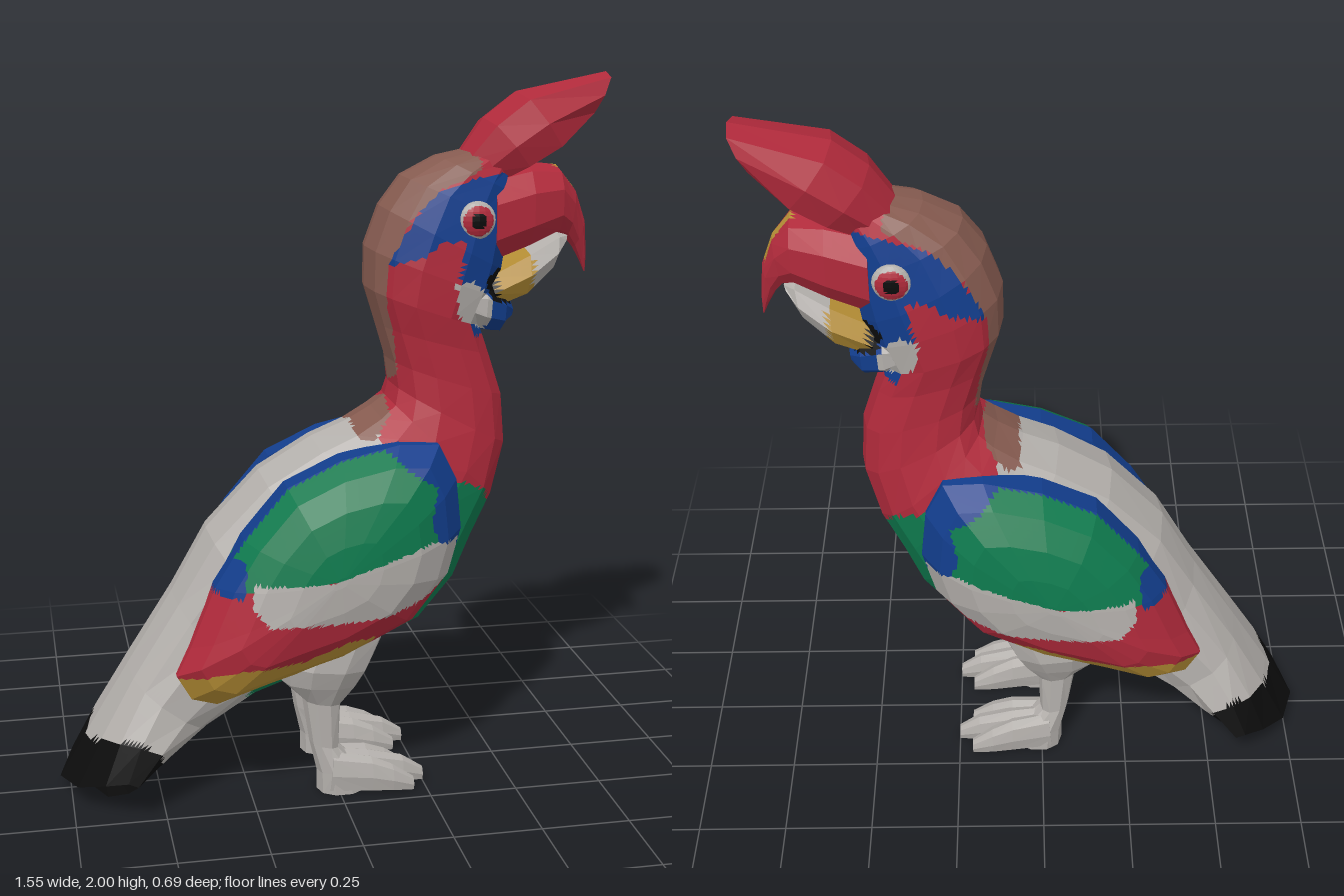
import * as THREE from 'three';

const mat = (name, color) => Object.assign(new THREE.MeshStandardMaterial({ color, flatShading: true }), { name });
const V = (x, y, z) => new THREE.Vector3(x, y, z);

// Triangles of a skin over rings of points, with closed ends (rings run counter-clockwise about the advance)
function skin(rings) {
  const tris = [], n = rings[0].length;
  for (let i = 0; i + 1 < rings.length; i++) {
    for (let j = 0; j < n; j++) {
      const k = (j + 1) % n, a = rings[i], b = rings[i + 1];
      tris.push([a[j], a[k], b[k]], [a[j], b[k], b[j]]);
    }
  }
  const cap = (ring, flip) => {
    const c = ring.reduce((s, p) => s.add(p), V(0, 0, 0)).divideScalar(n);
    ring.forEach((p, j) => {
      const q = ring[(j + 1) % n];
      tris.push(flip ? [c, q, p] : [c, p, q]);
    });
  };
  cap(rings[0], true);
  cap(rings[rings.length - 1], false);
  return tris;
}

// Loft of sections [topX, topY, bottomX, bottomY, halfWidth, z, sideSweepX, sideSweepY]
function loft(sections, n, e = 1) {
  const pw = v => Math.sign(v) * Math.abs(v) ** e;
  return skin(sections.map(([tx, ty, bx, by, w, z = 0, sx = 0, sy = 0]) =>
    Array.from({ length: n }, (_, j) => {
      const t = j / n * Math.PI * 2, c = pw(Math.cos(t)) / 2, s = pw(Math.sin(t));
      return V((tx + bx) / 2 + c * (tx - bx) + s * s * sx, (ty + by) / 2 + c * (ty - by) + s * s * sy, z + s * w);
    })));
}

const mirror = tris => tris.map(t => t.map(p => V(p.x, p.y, -p.z)).reverse());

// Point-in-polygon test in the side plane
function inside(p, poly) {
  let hit = false;
  poly.forEach(([x1, y1], i) => {
    const [x2, y2] = poly[(i + 1) % poly.length];
    if ((y1 > p.y) !== (y2 > p.y) && p.x < x1 + (p.y - y1) / (y2 - y1) * (x2 - x1)) hit = !hit;
  });
  return hit;
}

// Boundary value at v along a list of [v, value] pairs
function along(v, pts) {
  for (let i = 1; i < pts.length; i++) {
    const [a, x] = pts[i - 1], [b, y] = pts[i];
    if (v <= b) return x + (y - x) * Math.max(0, (v - a) / (b - a));
  }
  return pts[pts.length - 1][1];
}

// Splits each flat facet into k*k pieces and groups them by the colour rule
function paint(name, tris, rule, k = 1) {
  const buckets = new Map();
  for (const [a, b, c] of tris) {
    const at = (i, j) => a.clone().addScaledVector(b.clone().sub(a), i / k).addScaledVector(c.clone().sub(a), j / k);
    const put = (...t) => {
      const m = rule(V(0, 0, 0).add(t[0]).add(t[1]).add(t[2]).divideScalar(3));
      if (!buckets.has(m)) buckets.set(m, []);
      t.forEach(p => buckets.get(m).push(p));
    };
    for (let i = 0; i < k; i++) {
      for (let j = 0; i + j < k; j++) {
        put(at(i, j), at(i + 1, j), at(i, j + 1));
        if (i + j < k - 1) put(at(i + 1, j), at(i + 1, j + 1), at(i, j + 1));
      }
    }
  }
  const geo = new THREE.BufferGeometry().setFromPoints([...buckets.values()].flat());
  let start = 0;
  [...buckets.values()].forEach((pts, i) => { geo.addGroup(start, pts.length, i); start += pts.length; });
  geo.computeVertexNormals();
  const mesh = new THREE.Mesh(geo, [...buckets.keys()]);
  mesh.name = name;
  return mesh;
}

export function createModel() {
  const red = mat('red', 0xb02a3b), blue = mat('blue', 0x123d8c), green = mat('green', 0x0e7a4e);
  const grey = mat('pale grey', 0xb3afab), brown = mat('brown', 0x865b50);
  const yellow = mat('yellow', 0xb38c34), black = mat('black', 0x0c0c0c);
  const bird = new THREE.Group();
  bird.name = 'bird';

  // Body, tail, neck and head in one skin
  const body = loft([
    [-.78, .04, -.69, 0, .27, 0, .15, .1], [-.69, .19, -.5, .11, .24, 0, .06, .05],
    [-.58, .37, -.36, .2, .2], [-.45, .58, -.22, .28, .19], [-.35, .76, -.05, .34, .21],
    [-.2, .92, .1, .4, .22], [-.05, 1.01, .25, .47, .22], [.05, 1.05, .35, .59, .21],
    [.12, 1.09, .4, .71, .2], [.16, 1.12, .46, .83, .18], [.17, 1.16, .5, .98, .155],
    [.16, 1.23, .49, 1.12, .145], [.13, 1.33, .45, 1.24, .145], [.1, 1.43, .42, 1.32, .16],
    [.1, 1.54, .46, 1.4, .165], [.14, 1.65, .48, 1.47, .16], [.2, 1.73, .5, 1.6, .14],
    [.3, 1.78, .5, 1.68, .12], [.4, 1.8, .5, 1.74, .09],
  ], 14, .8);
  const nape = [[1.02, .1], [1.08, .15], [1.2, .18], [1.3, .165], [1.4, .14], [1.5, .14], [1.62, .2], [1.7, .28], [1.75, .4]];
  const face = [[.13, 1.5], [.24, 1.53], [.29, 1.57], [.35, 1.56], [.33, 1.46], [.38, 1.3], [.55, 1.28], [.55, 1.75], [.38, 1.73], [.26, 1.69], [.2, 1.61]];
  const cheek = [[.32, 1.45], [.37, 1.46], [.43, 1.4], [.42, 1.31], [.33, 1.36]];
  const gape = [[.41, 1.46], [.5, 1.5], [.5, 1.38], [.43, 1.4]];
  const headRule = p => inside(p, cheek) ? grey : inside(p, gape) ? black : inside(p, face) ? blue : red;
  bird.add(paint('body', body, p => {
    const z = Math.abs(p.z);
    if (.6 * p.x + .8 * p.y < -.28 + 2.2 * z * z && p.x < -.4) return black;
    if (p.y > 1.02 && p.x > .06 && p.x < along(p.y, nape)) return brown;
    if (p.y > 1.25) return headRule(p);
    if (p.x > .12 && p.y > .74 + .9 * z) return red;
    return p.x > -.25 && p.y < .3 + (p.x + .45) * 1.08 ? green : grey;
  }, 6));

  // Chin, crest and beak
  bird.add(paint('chin', loft([[.34, 1.44, .37, 1.34, .135], [.42, 1.46, .41, 1.3, .145],
    [.48, 1.43, .47, 1.29, .12], [.51, 1.38, .5, 1.33, .08]], 10), headRule, 4));
  bird.add(paint('crest', loft([[.36, 1.78, .46, 1.7, .09], [.43, 1.88, .55, 1.74, .12],
    [.52, 1.95, .64, 1.79, .12], [.775, 2, .72, 1.88, .078]], 8, .7), () => red));
  bird.add(paint('upperBeak', loft([[.44, 1.74, .44, 1.48, .135], [.55, 1.76, .55, 1.52, .12],
    [.64, 1.75, .64, 1.56, .09], [.69, 1.69, .67, 1.55, .06], [.725, 1.6, .695, 1.52, .035],
    [.735, 1.5, .718, 1.48, .015], [.735, 1.45, .732, 1.45, .003]], 10, .85),
  p => Math.abs(p.z) < .025 && p.x > .63 && p.y > 1.62 ? yellow : red, 5));
  bird.add(paint('lowerBeak', loft([[.43, 1.47, .45, 1.36, .12], [.55, 1.53, .54, 1.39, .115],
    [.64, 1.57, .62, 1.46, .085], [.67, 1.56, .655, 1.53, .05]], 8, .8),
  p => p.x < .45 ? black : p.x < .555 || p.y < 1.43 ? yellow : grey, 4));

  // Eye: a flattened ball with pupil, iris and pale rim
  const ball = new THREE.SphereGeometry(.052, 16, 12).toNonIndexed().scale(1, 1, .5).translate(.38, 1.62, .137);
  const eye = [], bp = ball.attributes.position;
  for (let i = 0; i < bp.count; i += 3) eye.push([0, 1, 2].map(j => V(0, 0, 0).fromBufferAttribute(bp, i + j)));
  const eyeRule = p => {
    const r = Math.hypot(p.x - .38, p.y - 1.62);
    return r < .022 ? black : r < .041 ? red : grey;
  };

  // Wing: domed outline
  const outline = [[.27, 1.02], [.16, 1.025], [0, .99], [-.15, .92], [-.27, .78], [-.35, .65], [-.42, .48],
    [-.46, .4], [-.42, .33], [-.35, .31], [-.2, .36], [0, .42], [.2, .52], [.3, .65], [.335, .78], [.32, .92]];
  const wing = skin([[1, .13], [1, .2], [.86, .265], [.62, .315], [.32, .338], [.05, .344]].map(([s, z]) =>
    outline.map(([x, y]) => V(-.03 + (x + .03) * s, .69 + (y - .69) * s, z))));
  const shoulder = [[.08, 1.05], [.18, .96], [.25, .92], [.23, .82], [.26, .76], [.4, .76], [.4, 1.05]];
  const band = [[-.26, .68], [-.05, .69], [.08, .73], [.22, .77], [.4, .76], [.36, .68], [.25, .61], [.1, .57], [-.22, .57], [-.26, .62]];
  const spot = [[-.4, .64], [-.28, .64], [-.27, .73], [-.31, .74]];
  const wingRule = p => {
    const z = Math.abs(p.z);
    if (inside(p, shoulder) || inside(p, spot) || (z < .205 && p.y > .74)) return blue;
    if (inside(p, band)) return grey;
    if (p.y > along(p.x, [[-.35, .66], [-.26, .66], [0, .7], [.2, .75]])) return p.x < -.3 ? red : green;
    return p.x < .08 && p.y < along(p.x, [[-.46, .39], [-.3, .44], [-.12, .45], [0, .5], [.1, .5]]) ? yellow : red;
  };

  // Leg and three splayed toes
  const leg = loft([[.15, .56, -.1, .56, .06, .15], [.13, .46, -.14, .48, .085, .14], [.09, .37, -.17, .4, .09, .14],
    [.06, .32, -.16, .34, .075, .135], [.01, .26, -.1, .28, .05, .13], [.005, .13, -.08, .15, .05, .13],
    [.06, .08, -.06, .06, .065, .135], [.08, 0, -.06, 0, .065, .135]], 10, .9);
  const toes = [-1, 0, 1].flatMap(s => {
    const z = .135 + s * .03, len = s ? .21 : .25;
    return loft([[-.02, .12, -.03, 0, .035, z], [.09, .105, .09, 0, .035, z + s * .015],
      [len - .06, .08, len - .06, 0, .03, z + s * .024], [len, .04, len, 0, .018, z + s * .03]], 8, .7);
  });

  // Paired parts
  for (const [side, f] of [['left', t => t], ['right', mirror]]) {
    bird.add(paint(side + 'Eye', f(eye), eyeRule, 2));
    bird.add(paint(side + 'Wing', f(wing), wingRule, 8));
    bird.add(paint(side + 'Leg', f(leg), () => grey));
    bird.add(paint(side + 'Toes', f(toes), () => grey));
  }
  return bird;
}
